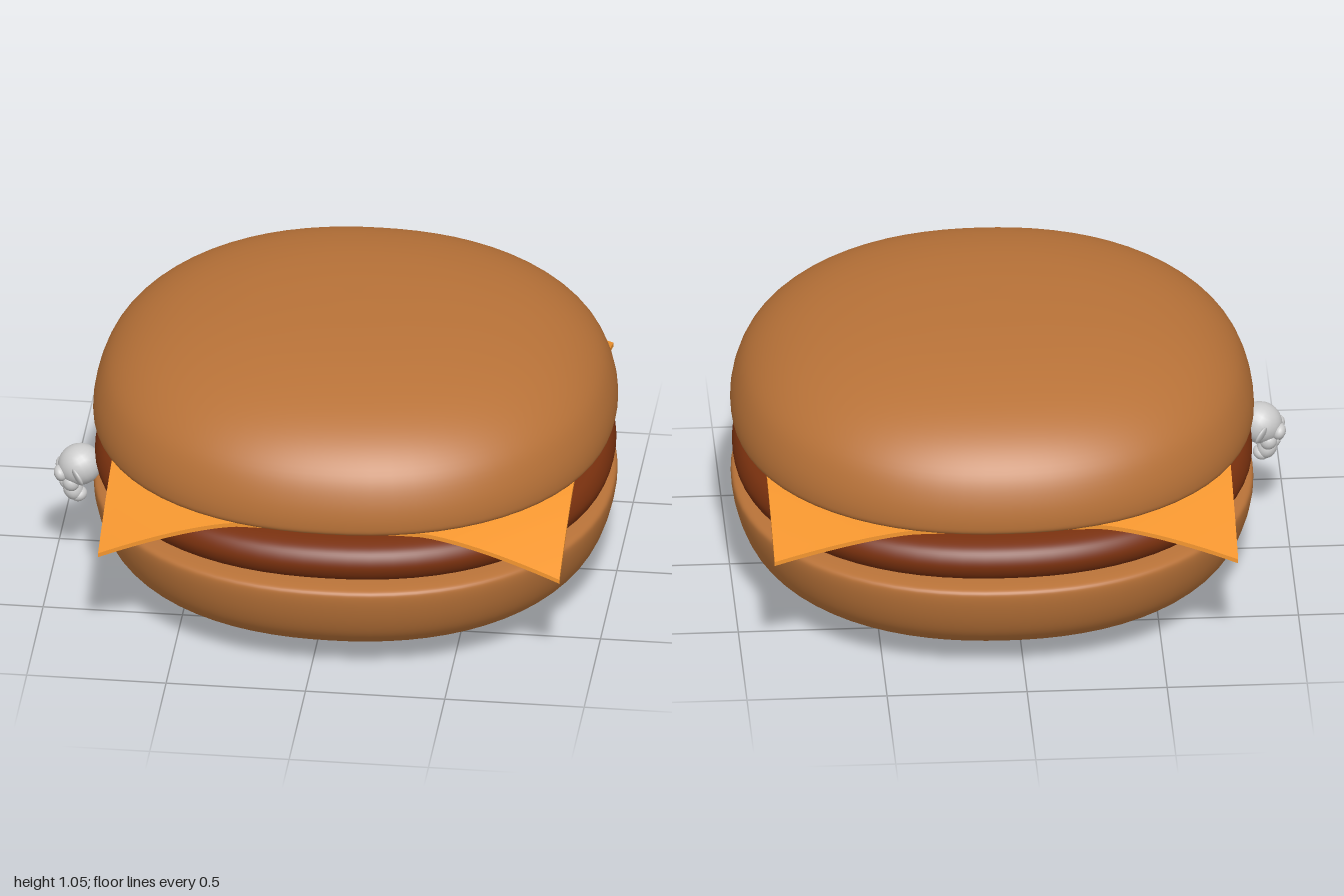
import * as THREE from 'three';
import { mergeVertices } from 'three/addons/utils/BufferGeometryUtils.js';

const CX = 0.063; // burger centre in x

// Lathe from a smooth profile, with a slightly squared round outline
function squaredRound(points) {
  const curve = new THREE.CatmullRomCurve3(
    points.map(([r, y]) => new THREE.Vector3(r, y, 0)), false, 'centripetal');
  const profile = curve.getPoints(56).map(p => new THREE.Vector2(Math.max(p.x, 0), p.y));
  let geo = new THREE.LatheGeometry(profile, 72);
  const pos = geo.attributes.position;
  const n = 2.2;
  for (let i = 0; i < pos.count; i++) {
    const x = pos.getX(i), z = pos.getZ(i), r = Math.hypot(x, z);
    if (r < 1e-6) continue;
    const k = (Math.abs(x / r) ** n + Math.abs(z / r) ** n) ** (-1 / n);
    pos.setX(i, x * k);
    pos.setZ(i, z * k);
  }
  geo.deleteAttribute('uv');
  geo.deleteAttribute('normal');
  geo = mergeVertices(geo, 1e-5);
  geo.computeVertexNormals();
  return geo;
}

// Thin square slice whose corners droop over the patty
function cheeseSlice() {
  const size = 1.655, half = size / 2;
  const geo = new THREE.BoxGeometry(size, 0.016, size, 40, 1, 40);
  const pos = geo.attributes.position;
  for (let i = 0; i < pos.count; i++) {
    const x = pos.getX(i), z = pos.getZ(i);
    const t = Math.max(0, (Math.abs(x) + Math.abs(z) - 1.15) / (2 * half - 1.15));
    const drop = x > 0 && z < 0 ? 0.112 : 0.158; // one corner hangs less
    pos.setY(i, pos.getY(i) + 0.567 - drop * t ** 1.4);
  }
  geo.computeVertexNormals();
  return geo;
}

// Small monkey head, built facing +z
function monkeyHead(material) {
  const head = new THREE.Group();
  head.name = 'monkeyHead';
  const blob = (name, x, y, z, sx, sy, sz) => {
    const m = new THREE.Mesh(new THREE.SphereGeometry(1, 20, 14), material);
    m.name = name;
    m.position.set(x, y, z);
    m.scale.set(sx, sy, sz);
    head.add(m);
    return m;
  };
  blob('cranium', 0, 0.02, -0.02, 0.076, 0.075, 0.08);
  blob('muzzle', 0, -0.06, 0.045, 0.043, 0.042, 0.035);
  blob('chin', 0, -0.088, 0.035, 0.034, 0.025, 0.03);
  blob('nose', 0, -0.025, 0.062, 0.018, 0.025, 0.018);
  for (const s of [-1, 1]) {
    blob('brow', s * 0.03, 0.028, 0.048, 0.034, 0.03, 0.024);
    blob('eye', s * 0.03, 0.015, 0.058, 0.017, 0.017, 0.015);
    blob('cheek', s * 0.035, -0.02, 0.03, 0.03, 0.032, 0.03);
    blob('ear', s * 0.09, 0.015, -0.02, 0.03, 0.035, 0.01).rotation.y = s * 0.5;
  }
  return head;
}

export function createModel() {
  const group = new THREE.Group();
  const mat = color => new THREE.MeshStandardMaterial({ color });
  const bun = mat(0xb87238);

  const add = (name, geo, material) => {
    const m = new THREE.Mesh(geo, material);
    m.name = name;
    m.position.x = CX;
    group.add(m);
  };

  // Buns and patty, profiles running from the bottom centre to the top centre
  add('bottomBun', squaredRound([
    [0, 0], [0.3, 0.008], [0.5, 0.025], [0.68, 0.055], [0.8, 0.1], [0.87, 0.16],
    [0.91, 0.24], [0.93, 0.335], [0.925, 0.362], [0.89, 0.374], [0.7, 0.38], [0, 0.382],
  ]), bun);
  add('patty', squaredRound([
    [0, 0.378], [0.7, 0.382], [0.85, 0.39], [0.905, 0.415], [0.926, 0.465],
    [0.905, 0.515], [0.85, 0.54], [0.7, 0.55], [0, 0.555],
  ]), mat(0x78300e));
  add('cheese', cheeseSlice(), mat(0xf4962f));
  add('topBun', squaredRound([
    [0, 0.578], [0.7, 0.582], [0.88, 0.59], [0.925, 0.605], [0.932, 0.64], [0.92, 0.72],
    [0.88, 0.81], [0.8, 0.89], [0.67, 0.96], [0.47, 1.015], [0.25, 1.042], [0, 1.051],
  ]), bun);

  // Head on the side of the burger, looking outward and down
  const head = monkeyHead(mat(0xcccccc));
  head.rotation.set(0.45, -Math.PI / 2, 0, 'YXZ');
  head.position.set(-0.915, 0.385, 0.18);
  group.add(head);

  return group;
}
